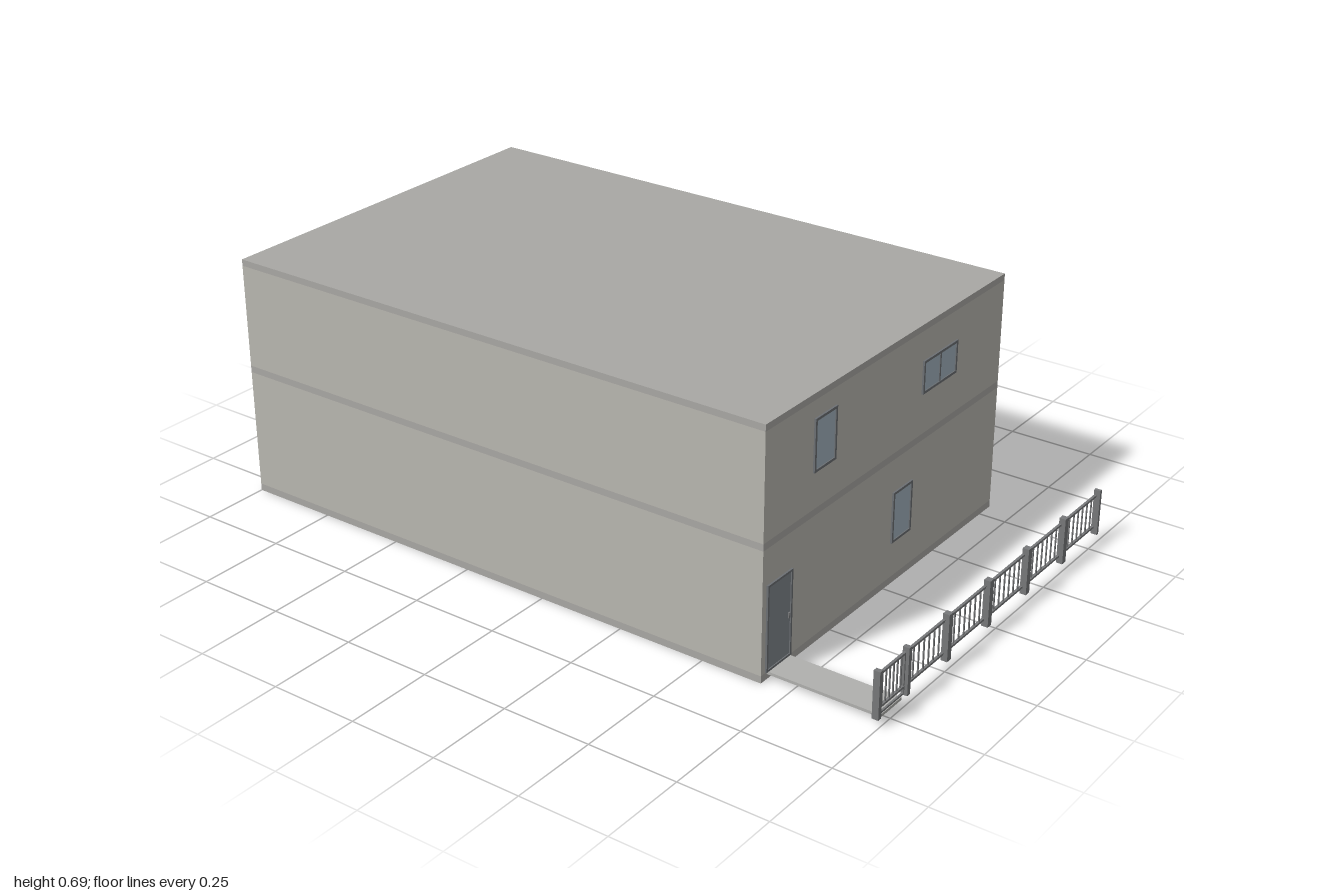
import * as THREE from 'three';

const paint = (color) => new THREE.MeshStandardMaterial({ color });
const wall = paint(0xb9b7b0), trim = paint(0xa9a8a4), frameMat = paint(0x6c7074);
const glass = paint(0xa3b3be), doorMat = paint(0x80868c), metal = paint(0x77787a), paving = paint(0xb0b0ae);

const FRONT = 0.673; // z of the front wall

// Box given by its limits on each axis
function box(parent, name, mat, [x0, x1], [y0, y1], [z0, z1]) {
  const mesh = new THREE.Mesh(new THREE.BoxGeometry(x1 - x0, y1 - y0, z1 - z0), mat);
  mesh.position.set((x0 + x1) / 2, (y0 + y1) / 2, (z0 + z1) / 2);
  mesh.name = name;
  parent.add(mesh);
  return mesh;
}

// Rectangular frame with a hole, standing proud of the front wall
function frame(parent, name, [x0, x1], [y0, y1], t, depth) {
  const rect = (C, i) => new C([
    new THREE.Vector2(x0 + i, y0 + i), new THREE.Vector2(x1 - i, y0 + i),
    new THREE.Vector2(x1 - i, y1 - i), new THREE.Vector2(x0 + i, y1 - i)]);
  const shape = rect(THREE.Shape, 0);
  shape.holes.push(rect(THREE.Path, t));
  const mesh = new THREE.Mesh(new THREE.ExtrudeGeometry(shape, { depth, bevelEnabled: false }), frameMat);
  mesh.position.z = FRONT - 0.001;
  mesh.name = name;
  parent.add(mesh);
}

function windowUnit(x, y, panes) {
  const g = new THREE.Group();
  g.name = 'window';
  frame(g, 'windowFrame', x, y, 0.007, 0.006);
  box(g, 'windowGlass', glass, [x[0] + 0.006, x[1] - 0.006], [y[0] + 0.006, y[1] - 0.006], [FRONT - 0.002, FRONT + 0.002]);
  for (let i = 1; i < panes; i++) {
    const m = x[0] + (x[1] - x[0]) * i / panes;
    box(g, 'mullion', frameMat, [m - 0.003, m + 0.003], [y[0] + 0.006, y[1] - 0.006], [FRONT - 0.002, FRONT + 0.004]);
  }
  return g;
}

// Two rails with evenly spaced balusters between them
function railing(name, x0, x1, count) {
  const g = new THREE.Group();
  g.name = name;
  for (const y of [0.047, 0.139]) box(g, 'rail', metal, [x0, x1], [y - 0.003, y + 0.003], [0.986, 0.993]);
  for (let i = 0; i < count; i++) {
    const x = x0 + (x1 - x0) * (i + 0.8) / (count + 0.6);
    box(g, 'baluster', metal, [x - 0.002, x + 0.002], [0.049, 0.137], [0.988, 0.991]);
  }
  return g;
}

export function createModel() {
  const model = new THREE.Group();
  model.name = 'house';

  // Walls, flat roof and slim floor bands
  const building = new THREE.Group();
  building.name = 'building';
  model.add(building);
  const W = [-0.555, 0.553], D = [-1, FRONT];
  box(building, 'baseBand', trim, W, [0, 0.02], D);
  box(building, 'lowerStorey', wall, W, [0.02, 0.36], D);
  box(building, 'floorBand', trim, W, [0.36, 0.379], D);
  box(building, 'upperStorey', wall, W, [0.379, 0.67], D);
  box(building, 'roofSlab', trim, W, [0.67, 0.688], D);

  // Windows
  model.add(windowUnit([-0.351, -0.256], [0.48, 0.623], 1));
  model.add(windowUnit([0.147, 0.314], [0.495, 0.587], 2));
  model.add(windowUnit([0.025, 0.118], [0.122, 0.267], 1));

  // Front door with handle and step
  const door = new THREE.Group();
  door.name = 'frontDoor';
  model.add(door);
  frame(door, 'doorFrame', [-0.538, -0.432], [0.022, 0.261], 0.006, 0.006);
  box(door, 'doorLeaf', doorMat, [-0.533, -0.437], [0.026, 0.256], [FRONT - 0.002, FRONT + 0.002]);
  box(door, 'doorHandle', metal, [-0.447, -0.441], [0.13, 0.145], [FRONT, FRONT + 0.006]);

  // Path from the door to the gate
  box(model, 'path', paving, [-0.53, -0.436], [0.014, 0.022], [FRONT, 0.991]);

  // Fence posts and panels
  const fence = new THREE.Group();
  fence.name = 'fence';
  model.add(fence);
  const posts = [[-0.555, -0.542], [-0.426, -0.413], [-0.241, -0.223], [-0.043, -0.025],
    [0.153, 0.171], [0.349, 0.367], [0.544, 0.553]];
  posts.forEach((x) => box(fence, 'fencePost', metal, x, [0.022, 0.153], [0.982, 1]));
  for (let i = 1; i < posts.length - 1; i++) {
    fence.add(railing('fencePanel', posts[i][1] + 0.007, posts[i + 1][0] - 0.008, 6));
  }

  // Gate with hinges and latch
  const gate = railing('gate', -0.54, -0.429, 6);
  for (const x of [-0.54, -0.429]) box(gate, 'gateStile', metal, [x - 0.002, x + 0.002], [0.03, 0.142], [0.987, 0.992]);
  box(gate, 'gateBottomRail', metal, [-0.54, -0.429], [0.026, 0.031], [0.987, 0.992]);
  box(gate, 'latch', metal, [-0.416, -0.405], [0.132, 0.146], [0.987, 0.993]);
  box(gate, 'latchCatch', metal, [-0.416, -0.405], [0.053, 0.086], [0.987, 0.991]);
  fence.add(gate);

  return model;
}
